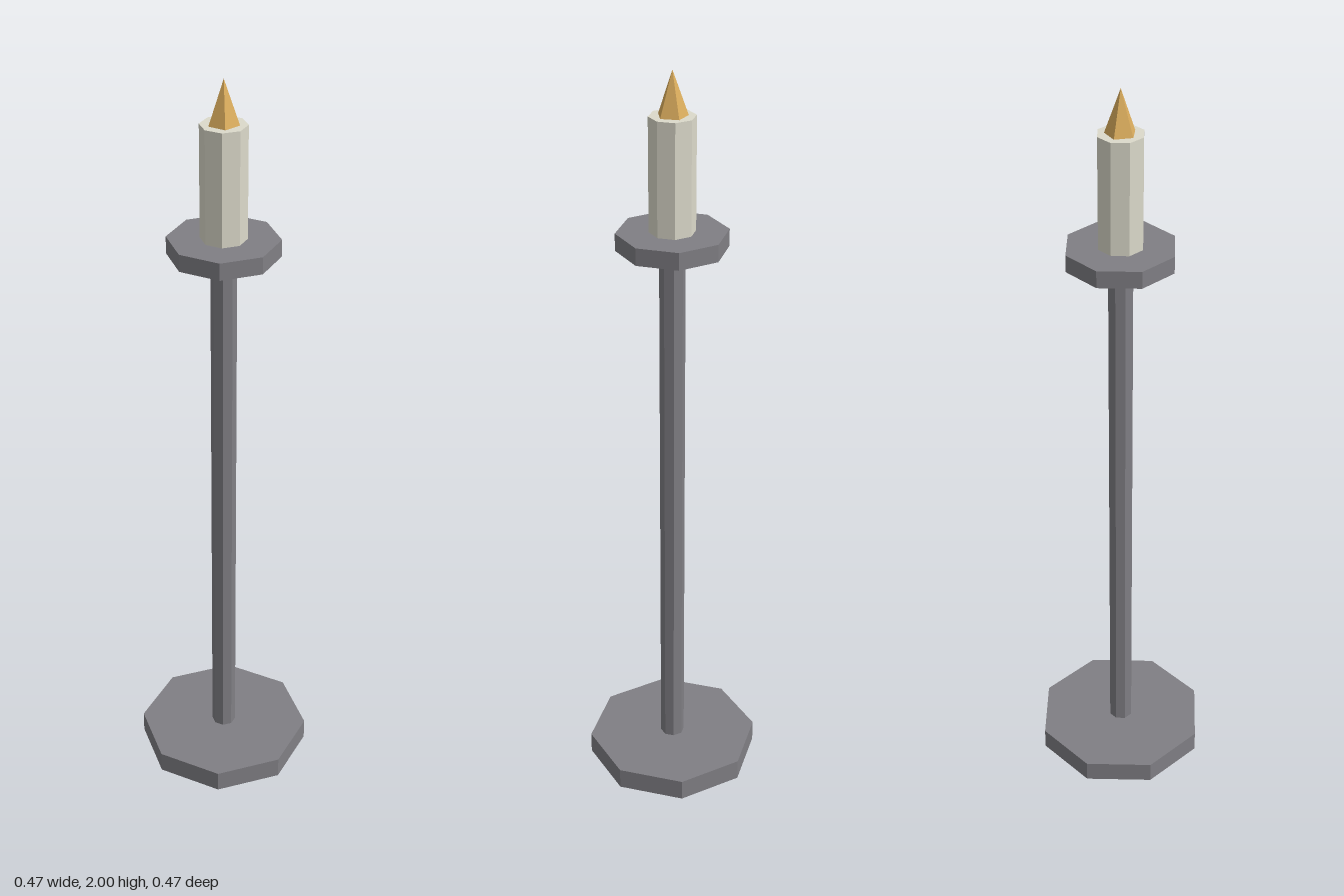
import * as THREE from 'three';

export function createModel() {
  const group = new THREE.Group();
  group.name = 'candlestick';

  const material = (name, color) => {
    const m = new THREE.MeshStandardMaterial({ color, flatShading: true });
    m.name = name;
    return m;
  };
  const metal = material('dark metal', 0x807f84);
  const wax = material('pale wax', 0xdcdacb);
  const fire = material('golden flame', 0xdcae5e);

  // Adds a faceted upright prism or cone between two heights
  const addPart = (name, mat, rBottom, rTop, y0, y1, sides = 8) => {
    const geometry = new THREE.CylinderGeometry(rTop, rBottom, y1 - y0, sides);
    const mesh = new THREE.Mesh(geometry, mat);
    mesh.name = name;
    mesh.position.y = (y0 + y1) / 2;
    group.add(mesh);
    return mesh;
  };

  // Octagonal stand
  addPart('base', metal, 0.236, 0.236, 0, 0.06);
  addPart('stem', metal, 0.033, 0.033, 0.06, 1.555);
  addPart('dripTray', metal, 0.1415, 0.1415, 1.555, 1.6);

  // Candle
  addPart('candle', wax, 0.0585, 0.0585, 1.6, 1.89);

  // Five-sided flame with one corner at the back
  addPart('flame', fire, 0.039, 0, 1.89, 2, 5).rotation.y = Math.PI;

  return group;
}
